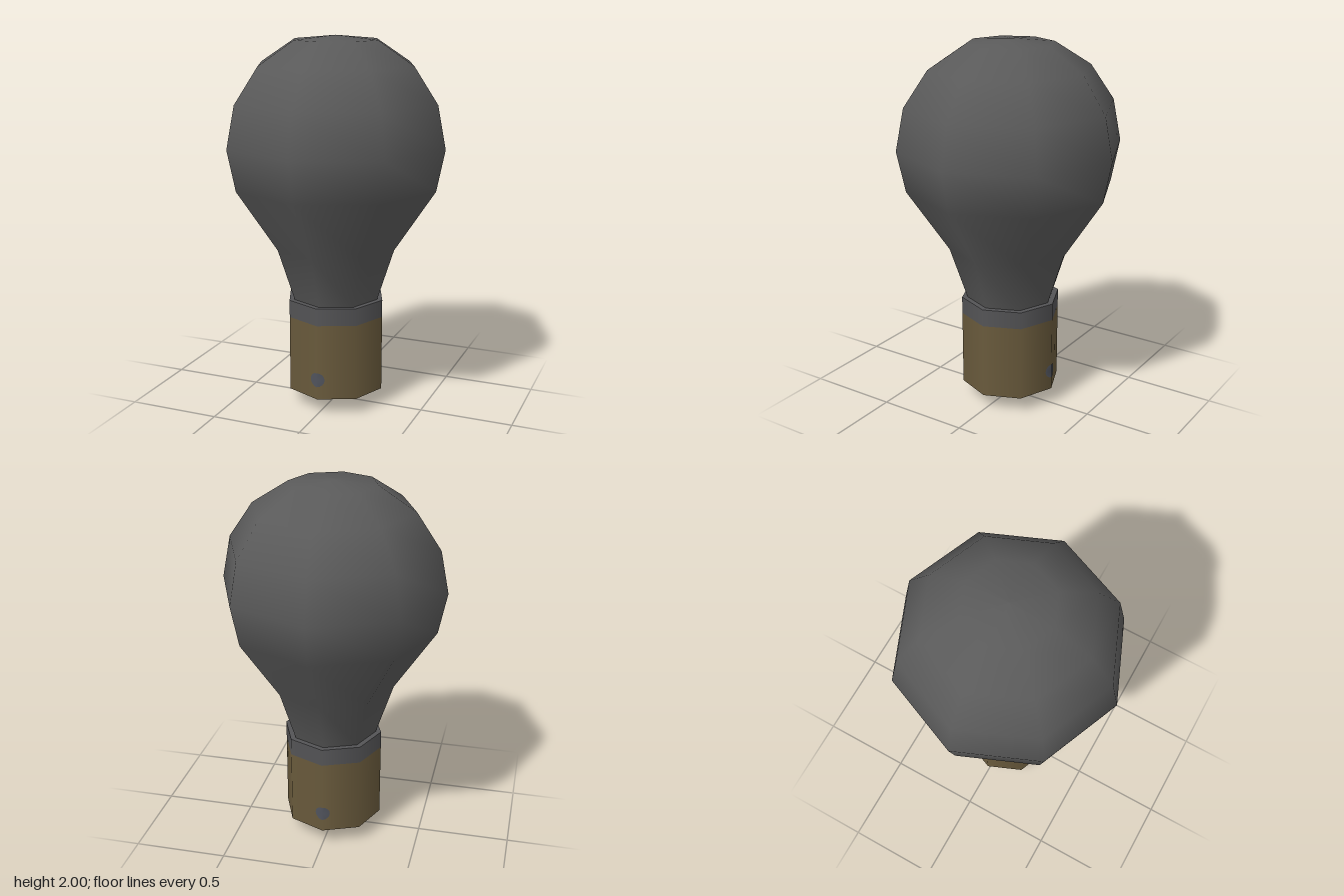
import * as THREE from 'three';

const SIDES = 8;
const BASE_RADIUS = 0.27;

const material = (name, color) => {
  const m = new THREE.MeshStandardMaterial({ color });
  m.name = name;
  return m;
};

export function createModel() {
  const group = new THREE.Group();
  group.name = 'lightBulb';

  const glassGrey = material('glassGrey', 0x5a5a5a);
  const collarGrey = material('collarGrey', 0x545456);
  const brass = material('brass', 0x695a3c);
  const pinBlue = material('pinBlueGrey', 0x50535c);

  const add = (name, geometry, mat) => {
    const mesh = new THREE.Mesh(geometry, mat);
    mesh.name = name;
    group.add(mesh);
    return mesh;
  };

  // Eight-sided turned part; profile runs bottom to top as [radius, y]
  const turned = (name, profile, mat) =>
    add(name, new THREE.LatheGeometry(profile.map(([r, y]) => new THREE.Vector2(r, y)), SIDES), mat);

  // Glass globe and neck
  turned('glassBulb', [
    [0.235, 0.58], [0.24, 0.6], [0.333, 0.885], [0.555, 1.22], [0.6, 1.44],
    [0.555, 1.665], [0.427, 1.853], [0.232, 1.978], [0, 2],
  ], glassGrey);

  // Cap: wall, upper collar and rim
  turned('baseWall', [[BASE_RADIUS, 0.09], [BASE_RADIUS, 0.505]], brass);
  turned('collar', [[BASE_RADIUS, 0.505], [BASE_RADIUS, 0.6]], collarGrey);
  turned('collarRim', [[BASE_RADIUS, 0.6], [0.22, 0.6]], collarGrey);

  // Shallow conical underside with its grey contact
  turned('contact', [[0, 0], [0.18, 0.06]], collarGrey);
  turned('undersideRing', [[0.18, 0.06], [BASE_RADIUS, 0.09]], brass);

  // Round pins on front and back, folded over the corner of the cap
  const pin = new THREE.CircleGeometry(0.04, 16);
  const pos = pin.attributes.position;
  const slope = Math.tan(Math.PI / SIDES);
  for (let i = 0; i < pos.count; i++) {
    pos.setZ(i, BASE_RADIUS + 0.003 - Math.abs(pos.getX(i)) * slope);
  }
  pin.computeVertexNormals();
  for (const [name, turn] of [['frontPin', 0], ['backPin', Math.PI]]) {
    const mesh = add(name, pin, pinBlue);
    mesh.position.y = 0.2;
    mesh.rotation.y = turn;
  }

  return group;
}
